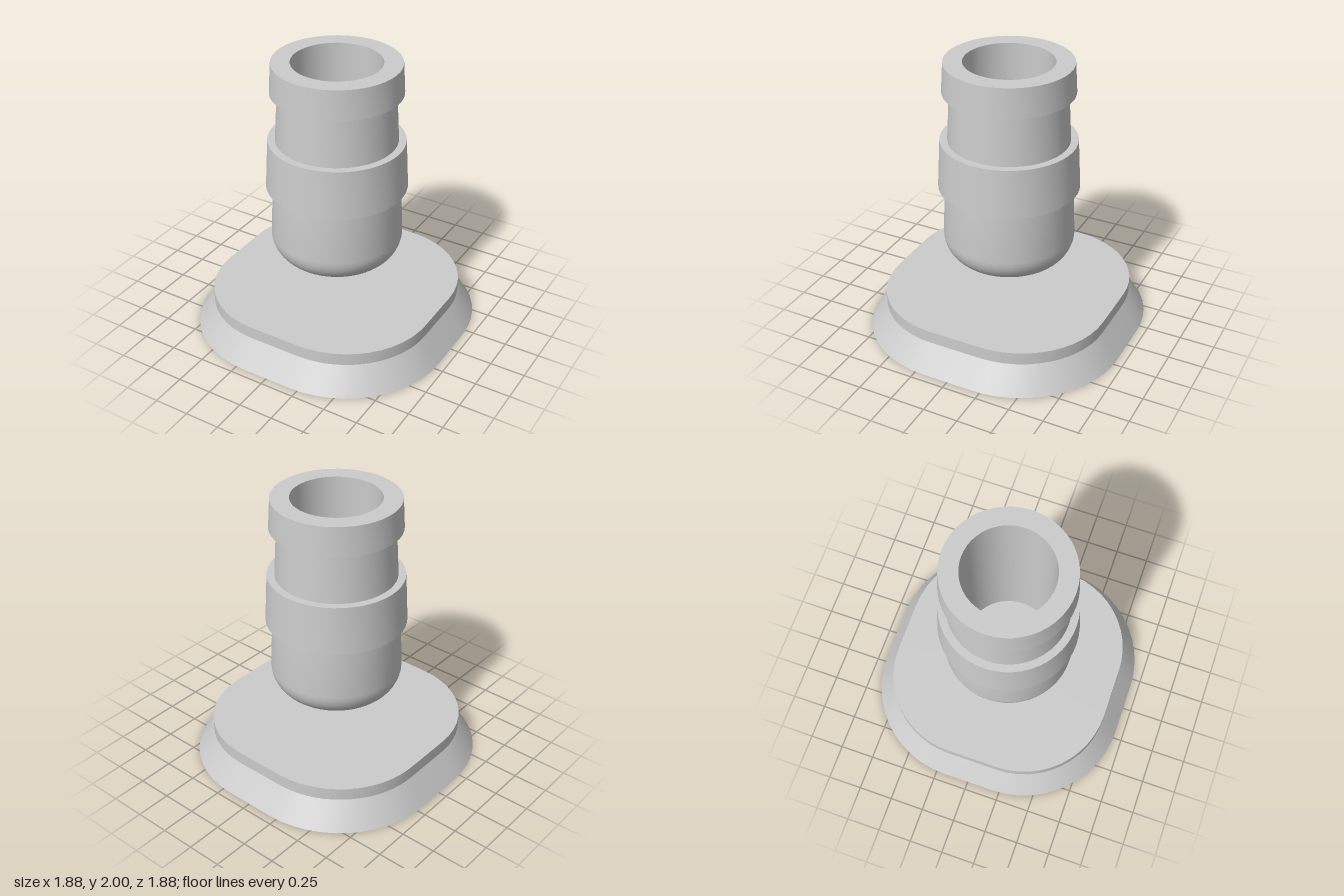
import * as THREE from 'three';
import { toCreasedNormals } from 'three/addons/utils/BufferGeometryUtils.js';

const material = new THREE.MeshStandardMaterial({ color: 0xcccccc });

function addMesh(group, name, geometry) {
  const mesh = new THREE.Mesh(toCreasedNormals(geometry, 0.5), material);
  mesh.name = name;
  group.add(mesh);
}

// Lofts rounded squares: each section is [corner radius, straight half-length, y]
function roundedSquareLoft(sections, cornerSteps = 12) {
  const positions = [];
  const indices = [];
  const count = 4 * (cornerSteps + 1);
  for (const [radius, flat, y] of sections) {
    for (let q = 0; q < 4; q++) {
      const mid = (q + 0.5) * Math.PI / 2;
      const cx = Math.sign(Math.cos(mid)) * flat;
      const cz = Math.sign(Math.sin(mid)) * flat;
      for (let i = 0; i <= cornerSteps; i++) {
        const a = (q + i / cornerSteps) * Math.PI / 2;
        positions.push(cx + radius * Math.cos(a), y, cz + radius * Math.sin(a));
      }
    }
  }
  for (let s = 0; s < sections.length - 1; s++) {
    for (let i = 0; i < count; i++) {
      const a = s * count + i;
      const b = s * count + (i + 1) % count;
      // End sections collapse to a point, so keep only the non-empty triangles
      if (sections[s][0] > 0) indices.push(a, a + count, b);
      if (sections[s + 1][0] > 0) indices.push(b, a + count, b + count);
    }
  }
  const geometry = new THREE.BufferGeometry();
  geometry.setAttribute('position', new THREE.Float32BufferAttribute(positions, 3));
  geometry.setIndex(indices);
  geometry.computeVertexNormals();
  return geometry;
}

export function createModel() {
  const model = new THREE.Group();
  model.name = 'cupAndBase';

  // Flared base with a short upright lip
  addMesh(model, 'base', roundedSquareLoft([
    [0, 0, 0], [0.75, 0.19, 0], [0.63, 0.19, 0.19], [0.63, 0.19, 0.28], [0, 0, 0.28],
  ]));

  // Hollow cup: rounded bottom, collar, neck and rim, then down the straight bore
  const profile = [[0, 0.515]];
  for (let i = 0; i <= 10; i++) {
    const a = i / 10 * Math.PI / 2;
    profile.push([0.275 + 0.19 * Math.sin(a), 0.715 - 0.2 * Math.cos(a)]);
  }
  profile.push(
    [0.447, 1.085], [0.494, 1.085], [0.475, 1.435],
    [0.422, 1.435], [0.402, 1.79], [0.453, 1.79], [0.44, 2],
    [0.31, 2], [0.31, 0.7], [0, 0.7],
  );
  const points = profile.map(([x, y]) => new THREE.Vector2(x, y));
  addMesh(model, 'cup', new THREE.LatheGeometry(points, 48));

  return model;
}
